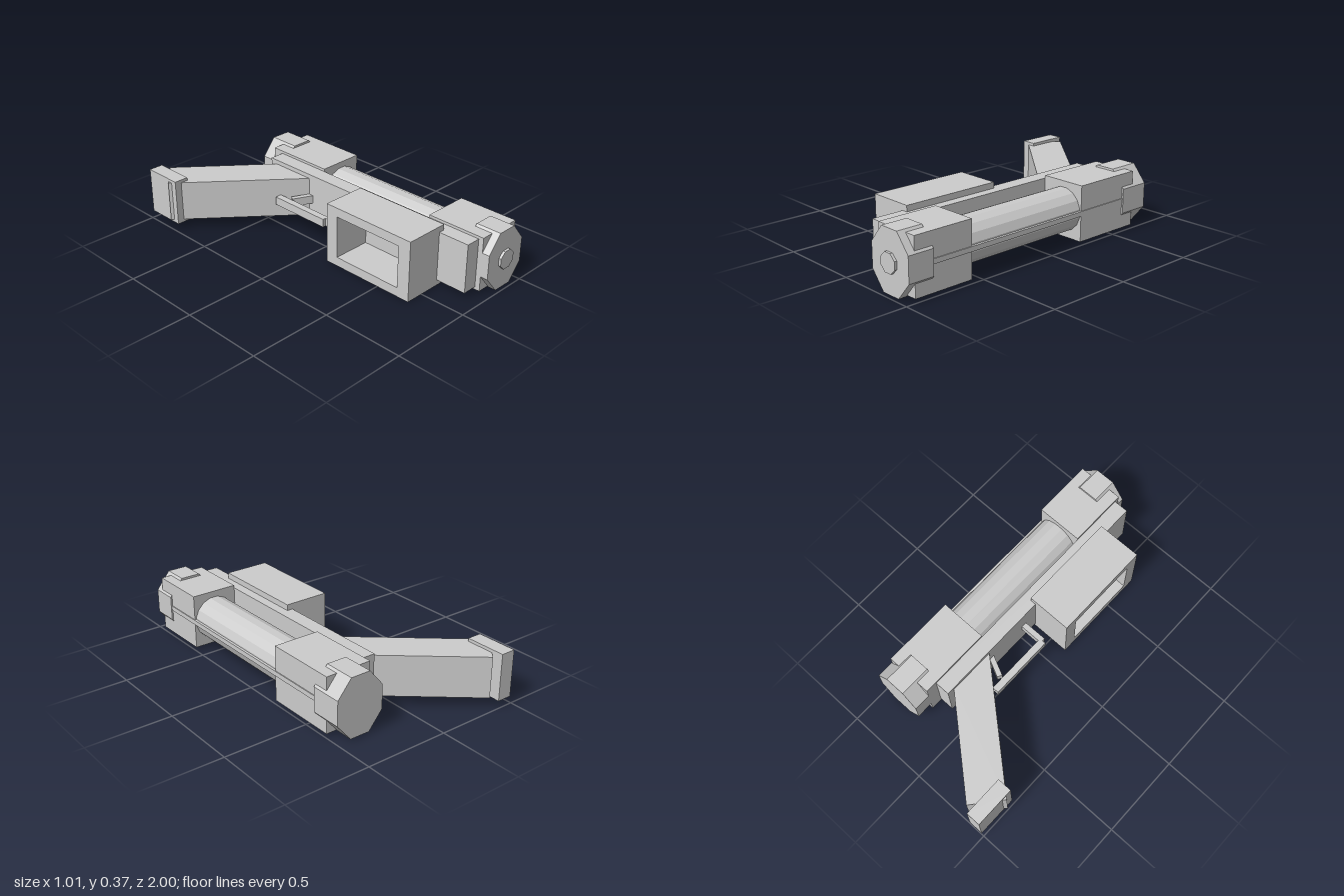
import * as THREE from 'three';

export function createModel() {
  const model = new THREE.Group();
  model.name = 'blaster';
  const grey = new THREE.MeshStandardMaterial({ color: 0xcccccc });
  grey.name = 'plain grey';
  grey.flatShading = true;

  const add = (name, geometry) => {
    const mesh = new THREE.Mesh(geometry, grey);
    mesh.name = name;
    model.add(mesh);
    return mesh;
  };

  // Box given by its limits on each axis
  const box = (name, x0, x1, y0, y1, z0, z1) =>
    add(name, new THREE.BoxGeometry(x1 - x0, y1 - y0, z1 - z0))
      .position.set((x0 + x1) / 2, (y0 + y1) / 2, (z0 + z1) / 2);

  // Prism along z with flats facing the axes, stretched to half sizes hx, hy
  const cx = 0.36, cy = 0.184;
  const prism = (name, sides, hx, hy, z0, z1) => {
    const g = new THREE.CylinderGeometry(1, 1, z1 - z0, sides);
    g.rotateY(Math.PI / sides).rotateX(Math.PI / 2);
    const k = 1 / Math.cos(Math.PI / sides);
    g.scale(hx * k, hy * k, 1);
    add(name, g).position.set(cx, cy, (z0 + z1) / 2);
  };

  // Plan outline of [x, z] points raised from y0 to y1
  const slab = (name, points, y0, y1) => {
    const shape = new THREE.Shape(points.map(([x, z]) => new THREE.Vector2(x, -z)));
    const g = new THREE.ExtrudeGeometry(shape, { depth: y1 - y0, bevelEnabled: false });
    g.rotateX(-Math.PI / 2);
    add(name, g).position.y = y0;
  };

  // Long spine and the barrel beside it
  box('spine', 0.125, 0.215, 0.035, 0.33, -0.595, 0.91);
  prism('barrel', 16, 0.125, 0.125, -0.25, 0.6);
  box('barrelRail', 0.46, 0.5, 0.172, 0.2, -0.6, 0.85);

  // Square housings with eight-sided caps at both ends
  box('frontHousing', 0.215, 0.495, 0.02, 0.346, 0.575, 0.94);
  box('rearHousing', 0.215, 0.495, 0.02, 0.346, -0.665, -0.23);
  prism('frontCap', 8, 0.145, 0.175, 0.83, 0.985);
  prism('rearCap', 8, 0.145, 0.175, -0.765, -0.575);
  prism('muzzle', 8, 0.055, 0.054, 0.95, 1.0);

  // Side box, a frame open on its outer face
  const frame = new THREE.Shape();
  frame.moveTo(-0.72, 0).lineTo(-0.115, 0).lineTo(-0.115, 0.365).lineTo(-0.72, 0.365).closePath();
  const hole = new THREE.Path();
  hole.moveTo(-0.64, 0.055).lineTo(-0.64, 0.31).lineTo(-0.195, 0.31).lineTo(-0.195, 0.055).closePath();
  frame.holes.push(hole);
  const frameGeometry = new THREE.ExtrudeGeometry(frame, { depth: 0.27, bevelEnabled: false });
  frameGeometry.rotateY(Math.PI / 2);
  add('sideBox', frameGeometry).position.x = -0.11;

  // Slanted grip with its end plate
  slab('grip', [[0.15, -0.53], [-0.365, -0.968], [-0.503, -0.804], [0.15, -0.245]], 0.062, 0.304);
  box('gripPlate', -0.488, -0.4, 0.045, 0.322, -1.0, -0.755);

  // Trigger and guard
  slab('trigger', [[0.01, -0.29], [0.025, -0.317], [0.14, -0.262], [0.14, -0.229]], 0.15, 0.2);
  box('guardSide', -0.041, 0, 0.15, 0.2, -0.38, 0.015);
  box('guardFront', -0.02, 0.14, 0.15, 0.2, 0, 0.033);

  return model;
}
